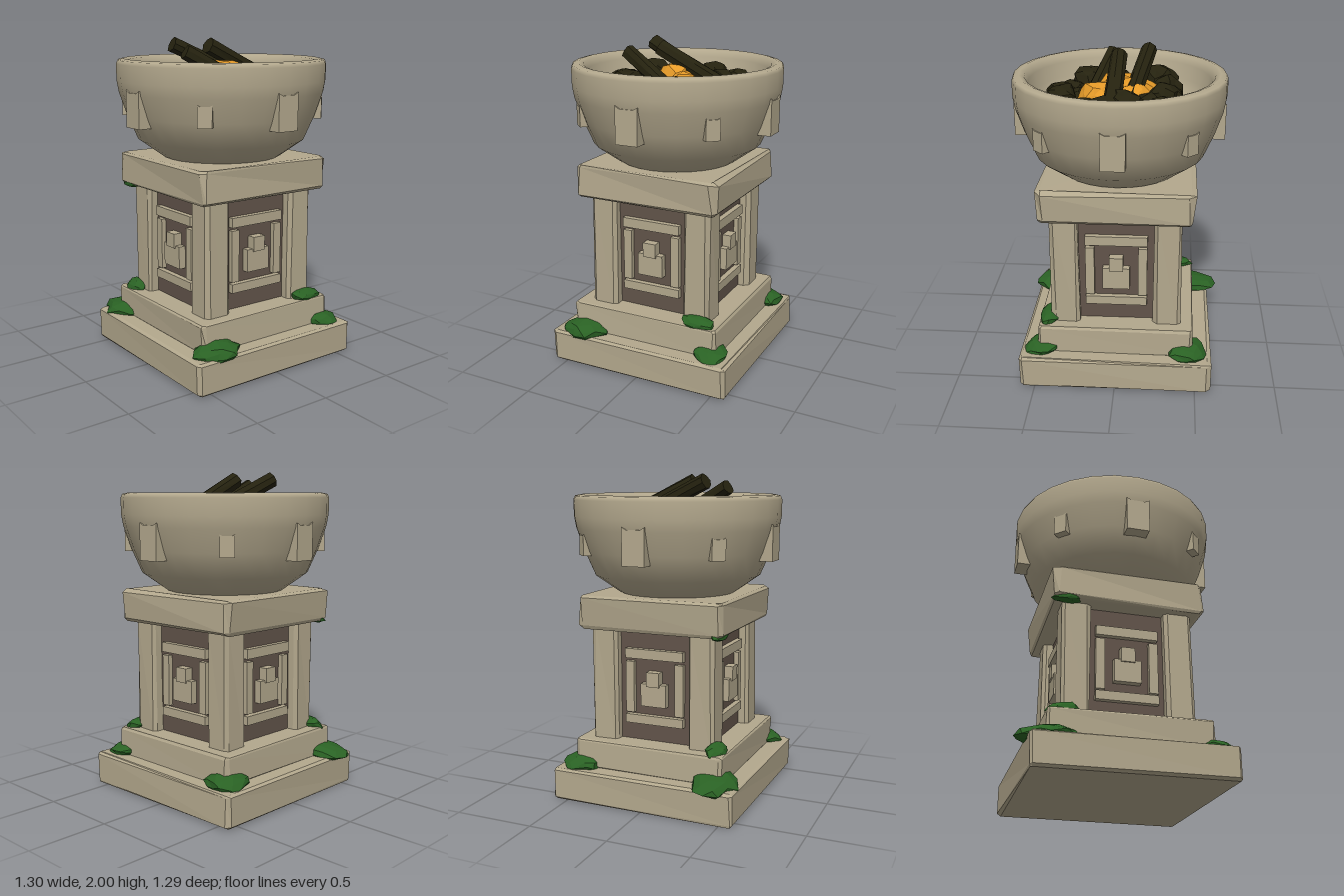
import * as THREE from 'three';

const mat = (name, color) => {
  const m = new THREE.MeshStandardMaterial({ color });
  m.name = name;
  return m;
};

// Repeatable noise in -1..1 from a position, so shared corners move together
const noise = (x, y, z, s) => {
  const v = Math.sin(Math.round(x * 500) * 12.99 + Math.round(y * 500) * 78.23 + Math.round(z * 500) * 37.72 + s * 4.13) * 43758.5453;
  return (v - Math.floor(v)) * 2 - 1;
};

// Moves vertices a little and gives flat facets
function roughen(geo, amount, seed) {
  const g = geo.index ? geo.toNonIndexed() : geo;
  const p = g.attributes.position;
  for (let i = 0; i < p.count; i++) {
    const x = p.getX(i), y = p.getY(i), z = p.getZ(i);
    p.setXYZ(i, x + amount * noise(x, y, z, seed), y + amount * 0.5 * noise(x, y, z, seed + 1), z + amount * noise(x, y, z, seed + 2));
  }
  g.computeVertexNormals();
  return g;
}

// Hewn stone block standing on y = 0, with cut corners and worn edges
function hewn(w, h, cut, bevel, rough, seed) {
  const r = w / 2, c = r - cut;
  const s = new THREE.Shape([[c, -r], [r, -c], [r, c], [c, r], [-c, r], [-r, c], [-r, -c], [-c, -r]].map(([x, y]) => new THREE.Vector2(x, y)));
  const g = new THREE.ExtrudeGeometry(s, {
    depth: h - 2 * bevel, bevelEnabled: true, bevelThickness: bevel, bevelSize: bevel, bevelOffset: -bevel, bevelSegments: 1,
  });
  g.translate(0, 0, bevel);
  g.rotateX(-Math.PI / 2);
  return roughen(g, rough, seed);
}

// Faceted lump with radii a, b, c
function lump(a, b, c, seed, rough = 0.16) {
  const g = roughen(new THREE.IcosahedronGeometry(1, 1), rough, seed);
  g.scale(a, b, c);
  g.computeVertexNormals();
  return g;
}

export function createModel() {
  const root = new THREE.Group();
  root.name = 'stoneBrazier';
  const stone = mat('stone', 0xb3a88d);
  const panel = mat('darkPanel', 0x62544a);
  const moss = mat('moss', 0x2a6224);
  const coal = mat('charredWood', 0x25220f);
  const ember = mat('ember', 0xe59a28);

  const add = (parent, name, geo, material, x = 0, y = 0, z = 0) => {
    const m = new THREE.Mesh(geo, material);
    m.name = name;
    m.position.set(x, y, z);
    parent.add(m);
    return m;
  };
  const box = (w, h, d) => new THREE.BoxGeometry(w, h, d);

  // Stepped base and cap
  add(root, 'baseSlab', hewn(1.18, 0.2, 0.02, 0.012, 0.008, 1), stone);
  add(root, 'baseStep', hewn(0.97, 0.18, 0.02, 0.012, 0.008, 2), stone, 0, 0.19, 0);
  add(root, 'capSlab', hewn(0.93, 0.2, 0.03, 0.015, 0.012, 3), stone, 0, 1.07, 0);

  // Shaft core and corner posts
  add(root, 'shaftCore', box(0.67, 0.7, 0.67), panel, 0, 0.72, 0);
  let seed = 10;
  for (const sx of [-1, 1]) for (const sz of [-1, 1]) {
    add(root, 'cornerPost', hewn(0.17, 0.72, 0.02, 0.006, 0.006, seed++), stone, sx * 0.315, 0.36, sz * 0.315);
  }

  // Carved relief on each side of the shaft
  for (let i = 0; i < 4; i++) {
    const side = new THREE.Group();
    side.name = 'carvedPanel';
    side.rotation.y = i * Math.PI / 2;
    root.add(side);
    add(side, 'frameTop', box(0.38, 0.06, 0.05), stone, 0, 0.92, 0.345);
    add(side, 'frameBottom', box(0.38, 0.055, 0.05), stone, 0, 0.51, 0.345);
    for (const s of [-1, 1]) add(side, 'frameSide', box(0.055, 0.32, 0.04), stone, s * 0.162, 0.71, 0.345);
    add(side, 'reliefBase', box(0.165, 0.14, 0.06), stone, 0, 0.67, 0.35);
    add(side, 'reliefTop', box(0.085, 0.09, 0.08), stone, 0, 0.77, 0.35);
  }

  // Bowl: outer wall, rounded rim, hollow and floor
  const profile = [
    [0, 1.26], [0.35, 1.26], [0.38, 1.28], [0.52, 1.38], [0.585, 1.53], [0.632, 1.67], [0.644, 1.74],
    [0.645, 1.84], [0.635, 1.862], [0.6, 1.87], [0.57, 1.86], [0.55, 1.82], [0.53, 1.73], [0.49, 1.655], [0.42, 1.62], [0, 1.62],
  ].map(([x, y]) => new THREE.Vector2(x, y));
  add(root, 'bowl', new THREE.LatheGeometry(profile, 28), stone);

  // Lugs around the bowl, alternating large and small
  const lug = (w, h, d) => {
    const s = new THREE.Shape([
      [-w / 2, 0], [w / 2, 0], [w * 0.52, h], [w * 0.3, h * 0.93], [-w * 0.3, h * 0.93], [-w * 0.5, h],
    ].map(([x, y]) => new THREE.Vector2(x, y)));
    return new THREE.ExtrudeGeometry(s, { depth: d, bevelEnabled: false });
  };
  for (let i = 0; i < 8; i++) {
    const big = i % 2 === 0, a = i * Math.PI / 4, r = 0.5;
    const m = add(root, 'bowlLug', big ? lug(0.14, 0.22, 0.138) : lug(0.085, 0.13, 0.122), stone,
      Math.sin(a) * r, big ? 1.48 : 1.51, Math.cos(a) * r);
    m.rotation.y = a;
  }

  // Embers in the middle
  [[0, 1.72, 0, 0.15, 0.15], [-0.13, 1.7, 0.08, 0.1, 0.11], [0.12, 1.71, -0.1, 0.12, 0.13],
    [-0.09, 1.71, -0.11, 0.11, 0.12], [0.11, 1.69, 0.06, 0.12, 0.12], [0, 1.68, 0.12, 0.1, 0.11]]
    .forEach(([x, y, z, r, h], i) => add(root, 'ember', lump(r, h, r, 30 + i), ember, x, y, z));

  // Coals around the embers: x, z, radius
  [[-0.13, -0.37, 0.09], [-0.27, -0.28, 0.1], [-0.27, -0.12, 0.095], [-0.29, 0.02, 0.1], [-0.28, 0.16, 0.1],
    [-0.23, 0.29, 0.11], [-0.09, 0.29, 0.1], [0.07, 0.34, 0.1], [0.2, 0.24, 0.12], [0.29, 0.12, 0.1],
    [0.36, 0, 0.095], [0.32, -0.18, 0.095], [0.19, -0.25, 0.11], [0.07, -0.3, 0.11], [-0.04, -0.26, 0.1],
    [0.25, -0.03, 0.09], [-0.17, -0.21, 0.09]]
    .forEach(([x, z, r], i) => {
      const m = add(root, 'coal', lump(r, 0.085, r * 0.95, 50 + i, 0.2), coal, x, 1.69 + 0.03 * (i % 3), z);
      m.rotation.y = i * 1.3;
    });

  // Charred logs, each from its low end to its high end
  [[[0.03, 1.71, -0.38], [0.015, 1.945, 0.11], 0.05],
    [[-0.05, 1.69, -0.3], [-0.165, 1.95, 0.25], 0.047],
    [[0.2, 1.66, -0.14], [0.06, 1.91, 0.31], 0.047],
    [[0.1, 1.66, 0.05], [-0.01, 1.76, 0.33], 0.04]]
    .forEach(([a, b, r], i) => {
      const from = new THREE.Vector3(...a), to = new THREE.Vector3(...b);
      const dir = to.clone().sub(from);
      const g = roughen(new THREE.CylinderGeometry(r, r * 1.05, dir.length(), 8, 2), 0.004, 80 + i);
      const m = add(root, 'log', g, coal);
      m.position.copy(from).lerp(to, 0.5);
      m.quaternion.setFromUnitVectors(new THREE.Vector3(0, 1, 0), dir.normalize());
    });

  // Moss clumps on the ledges: centre, then radii
  [[-0.47, 0.215, 0.43, 0.17, 0.06, 0.14], [0.5, 0.215, 0.4, 0.12, 0.06, 0.15],
    [-0.45, 0.22, -0.45, 0.12, 0.055, 0.13], [0.46, 0.22, -0.45, 0.1, 0.045, 0.11],
    [-0.38, 0.385, 0.41, 0.1, 0.045, 0.06], [0.42, 0.385, -0.35, 0.06, 0.04, 0.11],
    [-0.38, 1.075, 0.425, 0.09, 0.025, 0.045]]
    .forEach(([x, y, z, a, b, c], i) => {
      const g = lump(a, b, c, 100 + i, 0.14);
      // Droop the part that hangs over the outer edge
      const p = g.attributes.position;
      for (let k = 0; k < p.count; k++) {
        const out = (p.getX(k) * Math.sign(x) / a + p.getZ(k) * Math.sign(z) / c) / 2;
        p.setY(k, p.getY(k) - Math.max(0, out) * b * 0.5);
      }
      g.computeVertexNormals();
      add(root, 'mossClump', g, moss, x, y, z);
    });

  return root;
}
